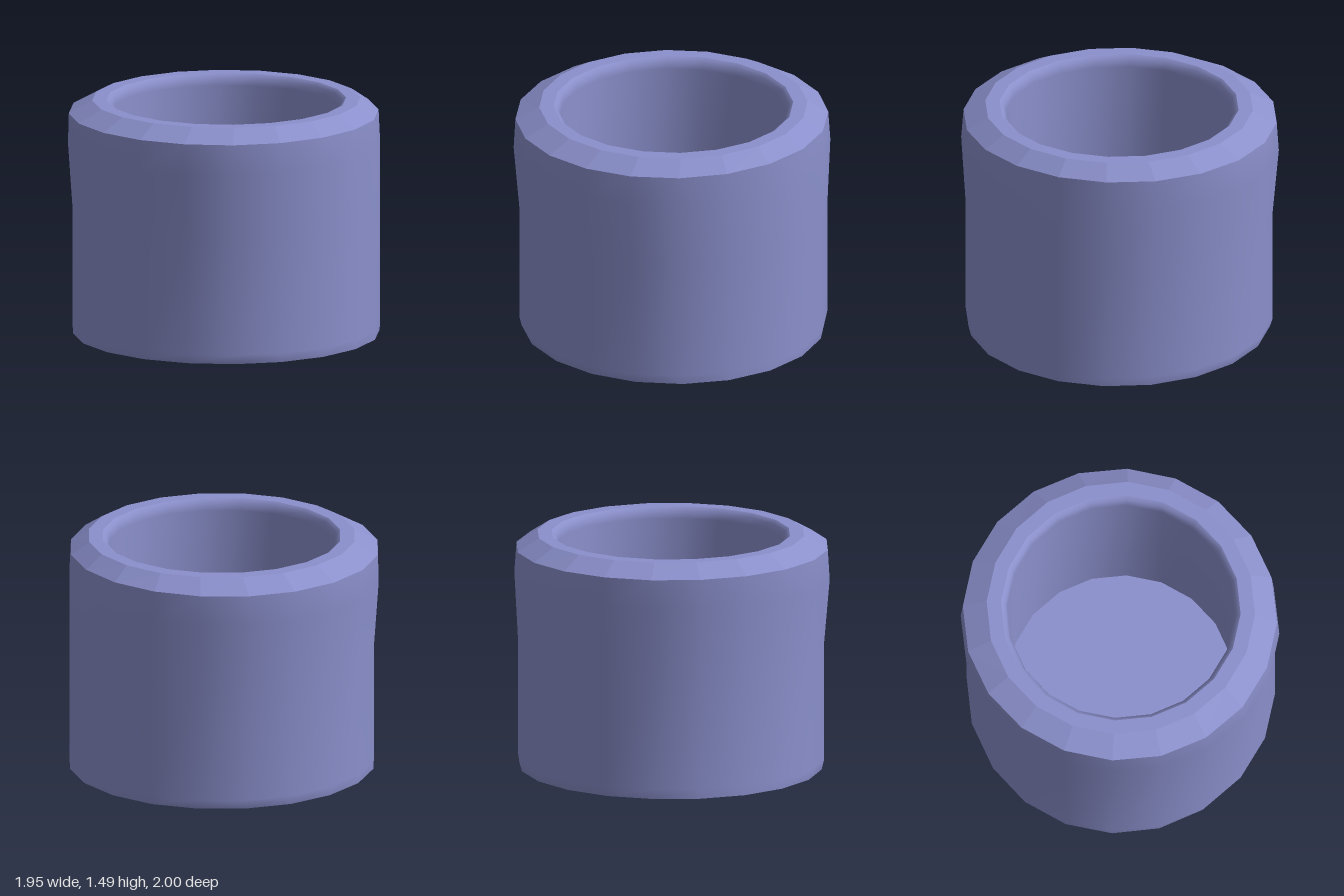
import * as THREE from 'three';

const SIDES = 20;

// Joins elliptical rings [y, radiusX, radiusZ, centreX] into one surface.
function loft(rings, flat = false) {
  const positions = [];
  const index = [];
  for (const [y, rx, rz, cx] of rings) {
    for (let j = 0; j < SIDES; j++) {
      const a = (j / SIDES) * Math.PI * 2;
      positions.push(cx + Math.cos(a) * rx, y, -Math.sin(a) * rz);
    }
  }
  for (let i = 0; i < rings.length - 1; i++) {
    for (let j = 0; j < SIDES; j++) {
      const k = (j + 1) % SIDES;
      const a = i * SIDES + j, b = i * SIDES + k;
      const c = b + SIDES, d = a + SIDES;
      index.push(a, b, c, a, c, d);
    }
  }
  let geometry = new THREE.BufferGeometry();
  geometry.setAttribute('position', new THREE.Float32BufferAttribute(positions, 3));
  geometry.setIndex(index);
  if (flat) geometry = geometry.toNonIndexed();
  geometry.computeVertexNormals();
  return geometry;
}

export function createModel() {
  const group = new THREE.Group();
  group.name = 'cup';
  const material = new THREE.MeshStandardMaterial({ color: 0x8b90cc });

  // Rings shared by neighbouring parts
  const foot = [0, 0.96, 0.945, 0.0125];
  const shoulder = [1.41, 0.97, 0.985, -0.004];
  const rimOuter = [1.49, 0.84, 0.84, 0.012];
  const rimInner = [1.49, 0.75, 0.75, 0.0125];
  const floorEdge = [0.15, 0.705, 0.705, 0.0125];

  const add = (name, rings, flat) => {
    const mesh = new THREE.Mesh(loft(rings, flat), material);
    mesh.name = name;
    group.add(mesh);
  };

  // Flat underside
  add('base', [[0, 0, 0, 0.0125], foot], true);

  // Straight side that flares gently towards the top
  add('outerWall', [
    foot,
    [0.06, 0.9625, 0.965, 0.0125],
    [0.8, 0.9625, 0.965, 0.0125],
    [1.22, 0.977, 1.0, -0.002],
    shoulder,
  ]);

  // Faceted bevel and flat top of the rim
  add('rimBevel', [shoulder, rimOuter], true);
  add('rimTop', [rimOuter, rimInner], true);

  // Rounded inner lip running down the hollow
  add('innerWall', [
    rimInner,
    [1.47, 0.725, 0.725, 0.0125],
    [1.42, 0.71, 0.71, 0.0125],
    floorEdge,
  ]);
  add('innerFloor', [floorEdge, [0.15, 0, 0, 0.0125]], true);

  return group;
}
